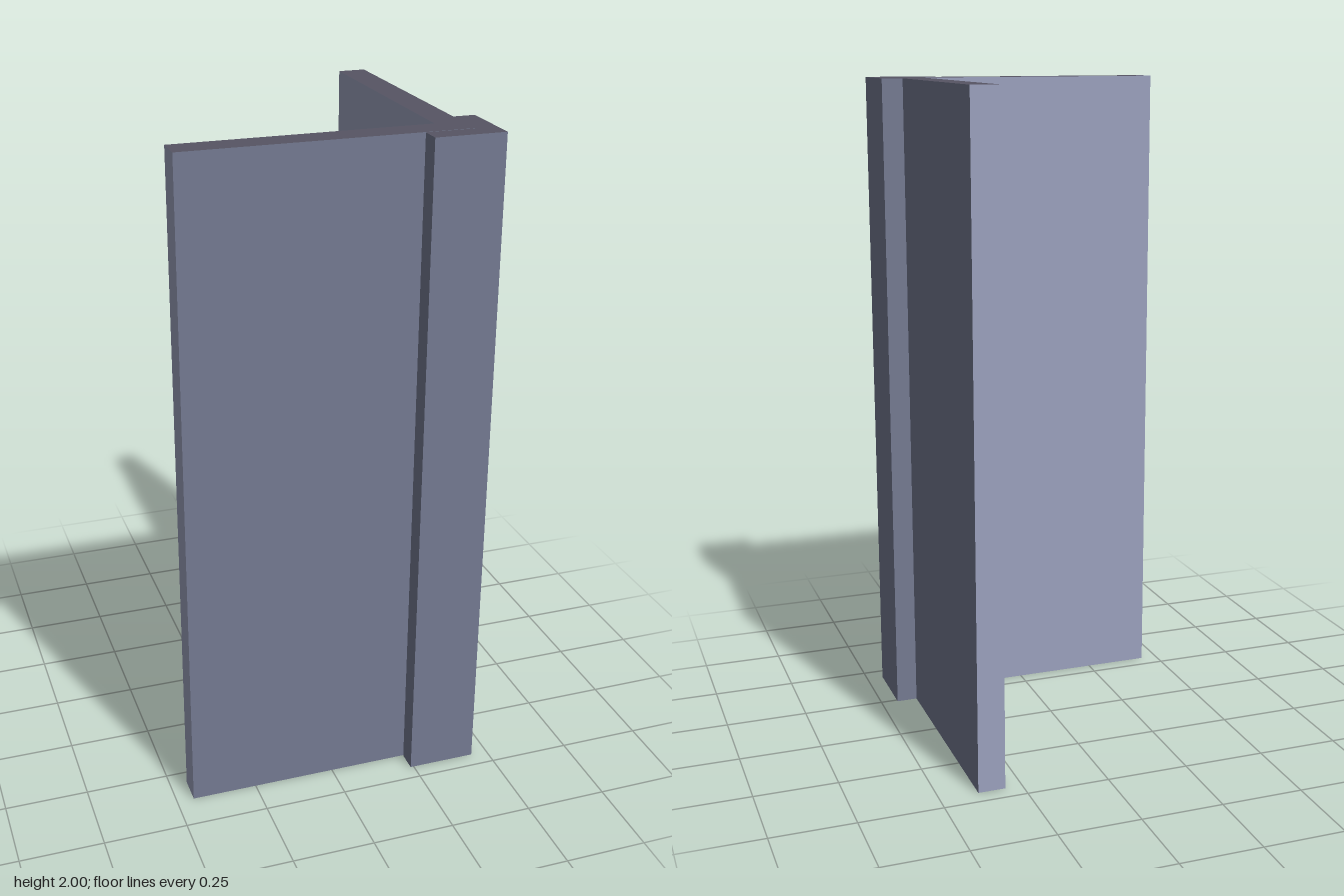
import * as THREE from 'three';

const HEIGHT = 2;

function flat(name, color) {
  const material = new THREE.MeshStandardMaterial({ color, side: THREE.DoubleSide });
  material.name = name;
  return material;
}

// Upright faces along a path of [x, z] points, facing outward
function faces(name, path, material) {
  const group = new THREE.Group();
  group.name = name;
  for (let i = 0; i < path.length - 1; i++) {
    const [x0, z0] = path[i];
    const [x1, z1] = path[i + 1];
    const mesh = new THREE.Mesh(
      new THREE.PlaneGeometry(Math.hypot(x1 - x0, z1 - z0), HEIGHT), material);
    mesh.name = `${name}Face`;
    mesh.position.set((x0 + x1) / 2, HEIGHT / 2, (z0 + z1) / 2);
    mesh.rotation.y = Math.atan2(z0 - z1, x1 - x0);
    group.add(mesh);
  }
  return group;
}

// Horizontal cap filling a plan at height y, facing up or down
function cap(name, plan, y, up, material) {
  const sign = up ? -1 : 1;
  const shape = new THREE.Shape(plan.map(([x, z]) => new THREE.Vector2(x, sign * z)));
  const mesh = new THREE.Mesh(new THREE.ShapeGeometry(shape), material);
  mesh.name = name;
  mesh.rotation.x = sign * Math.PI / 2;
  mesh.position.y = y;
  return mesh;
}

export function createModel() {
  const group = new THREE.Group();
  group.name = 'wallCorner';

  const outside = flat('outside slate', 0x757b92);
  const inside = flat('inside pale slate', 0x9ca2be);
  const top = flat('top dark slate', 0x575564);

  // Two wall panels meeting at a right angle, open underneath
  const wall = [
    [-0.448, 0.384], [0.384, 0.384], [0.384, -0.449],
    [0.302, -0.449], [0.302, 0.3], [-0.448, 0.3],
  ];
  group.add(faces('wallOutside', wall.slice(0, 3), outside));
  group.add(faces('wallInside', [...wall.slice(2), wall[0]], inside));
  group.add(cap('wallTop', wall, HEIGHT, true, top));

  // Trim around the outer corner, with a hairline gap at the front panel
  const trim = [
    [0.24, 0.449], [0.448, 0.449], [0.448, 0.24],
    [0.384, 0.24], [0.384, 0.387], [0.24, 0.387],
  ];
  group.add(faces('trimSides', [...trim, trim[0]], outside));
  group.add(cap('trimTop', trim, HEIGHT, true, top));
  group.add(cap('trimBottom', trim, 0, false, inside));

  return group;
}
